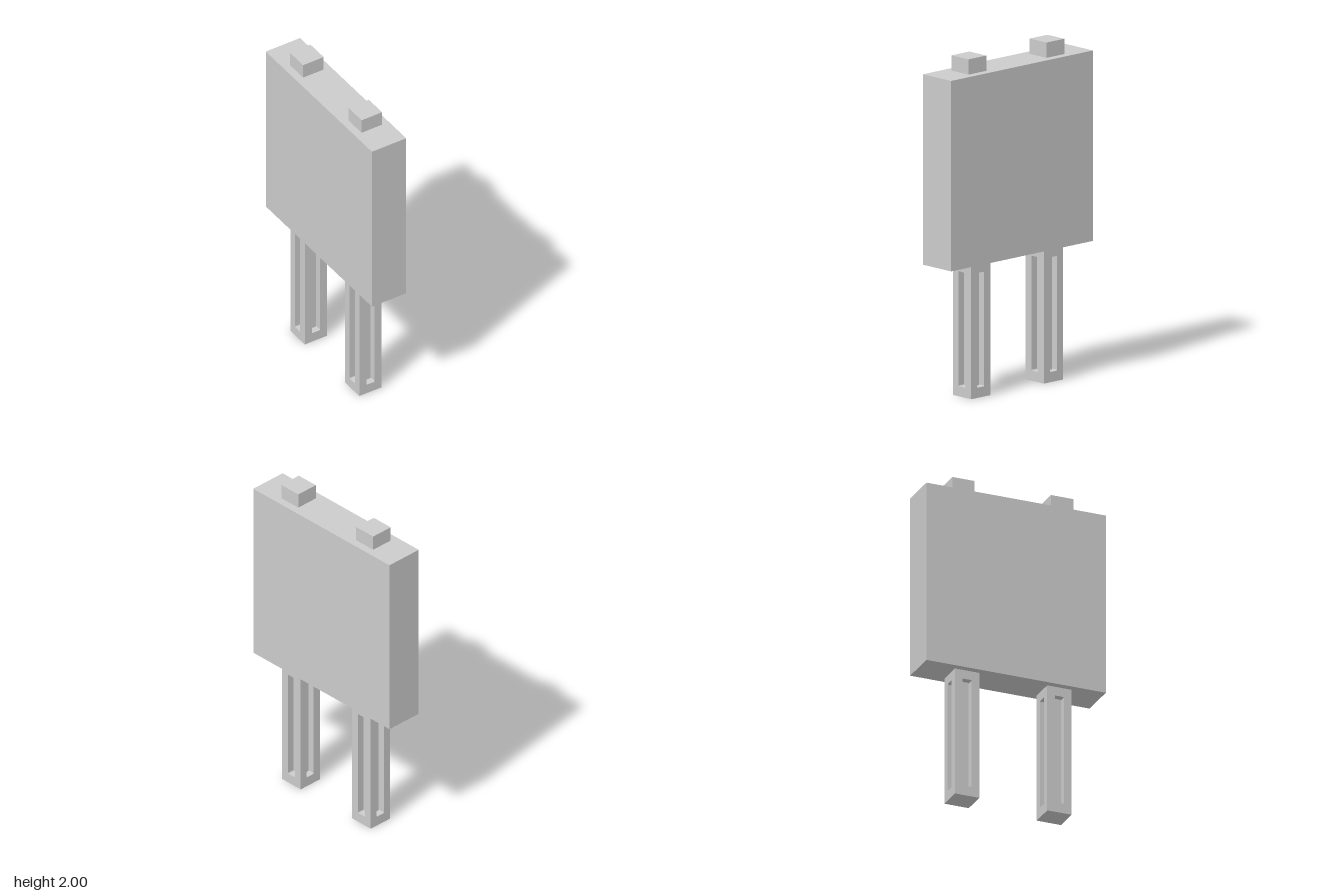
import * as THREE from 'three';

const material = new THREE.MeshStandardMaterial({ color: 0xcccccc, flatShading: true });

function box(name, w, h, d, x, y, z) {
  const mesh = new THREE.Mesh(new THREE.BoxGeometry(w, h, d), material);
  mesh.name = name;
  mesh.position.set(x, y, z);
  return mesh;
}

const LEG_W = 0.152, LEG_H = 0.79, DEPTH = 0.042;

// Flat leg side with a tall slot whose corners are slightly rounded
function slottedPanel(width) {
  const w = width / 2, s = 0.028, r = 0.006, y0 = 0.06, y1 = 0.735;
  const shape = new THREE.Shape();
  shape.moveTo(-w, 0).lineTo(w, 0).lineTo(w, LEG_H).lineTo(-w, LEG_H).closePath();
  const slot = new THREE.Path();
  slot.moveTo(-s + r, y0);
  slot.lineTo(s - r, y0).quadraticCurveTo(s, y0, s, y0 + r);
  slot.lineTo(s, y1 - r).quadraticCurveTo(s, y1, s - r, y1);
  slot.lineTo(-s + r, y1).quadraticCurveTo(-s, y1, -s, y1 - r);
  slot.lineTo(-s, y0 + r).quadraticCurveTo(-s, y0, -s + r, y0);
  shape.holes.push(slot);
  return new THREE.ExtrudeGeometry(shape, { depth: DEPTH, bevelEnabled: false, curveSegments: 3 });
}

// Square leg: solid core wrapped by four slotted sides
function createLeg(name, z) {
  const leg = new THREE.Group();
  leg.name = name;
  const inner = LEG_W - 2 * DEPTH;
  leg.add(box('legCore', inner, LEG_H, inner, 0, LEG_H / 2, 0));
  for (let i = 0; i < 4; i++) {
    const panel = new THREE.Mesh(slottedPanel(i % 2 ? inner : LEG_W), material);
    panel.name = 'slottedSide';
    const angle = i * Math.PI / 2;
    panel.rotation.y = angle;
    panel.position.set(Math.sin(angle) * inner / 2, 0, Math.cos(angle) * inner / 2);
    leg.add(panel);
  }
  leg.position.z = z;
  return leg;
}

export function createModel() {
  const model = new THREE.Group();
  model.name = 'twoLeggedBlock';

  // Main slab
  model.add(box('body', 0.234, 1.12, 1.12, 0, 1.35, 0));

  // Top studs and legs, front and back
  for (const [side, s] of [['front', 1], ['back', -1]]) {
    model.add(box(side + 'Stud', 0.14, 0.09, 0.14, 0, 1.955, s * 0.308));
    model.add(createLeg(side + 'Leg', s * 0.288));
  }
  return model;
}
